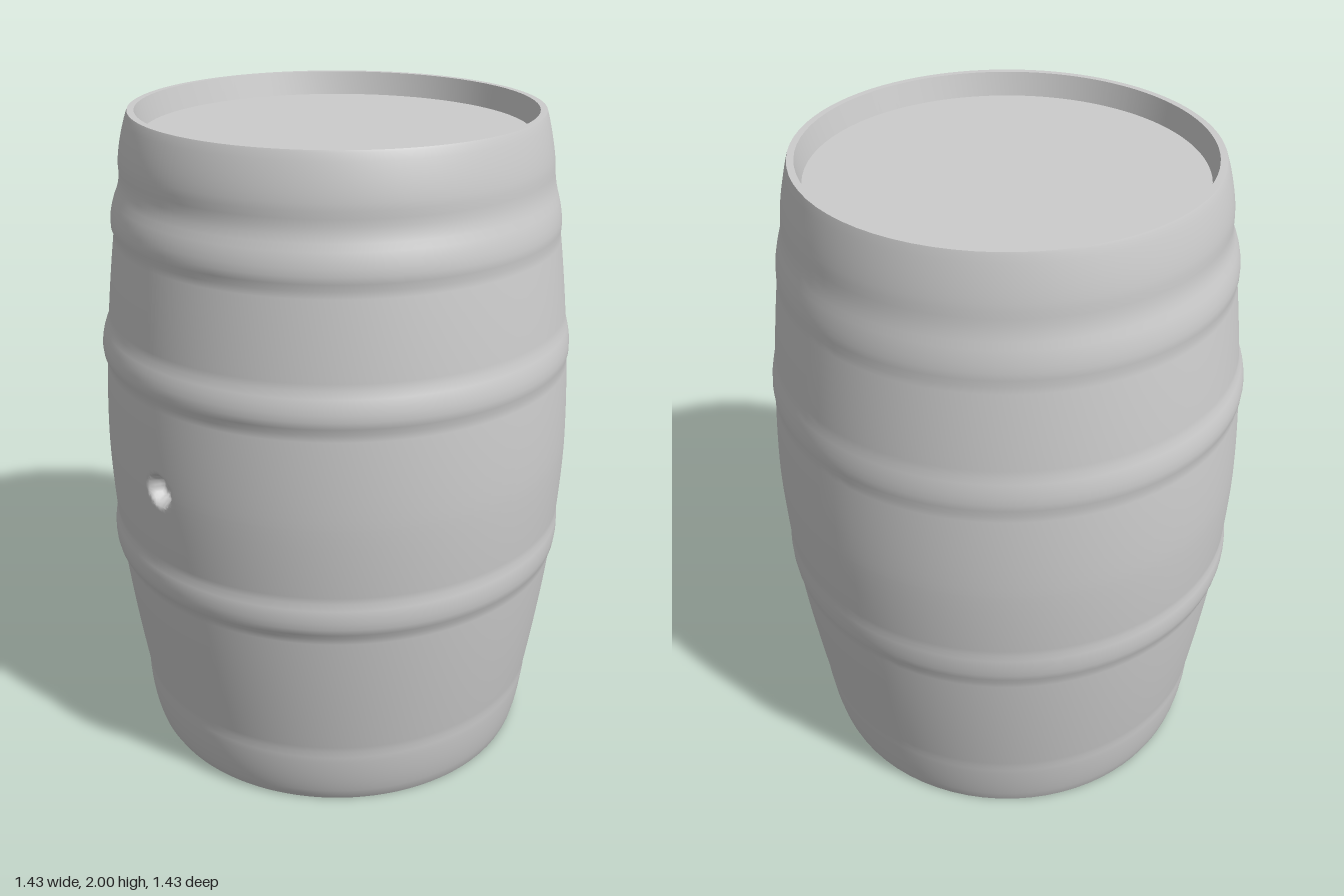
import * as THREE from 'three';
import { mergeVertices, toCreasedNormals } from 'three/addons/utils/BufferGeometryUtils.js';

const HEAD_RADIUS = 0.565;
const BOTTOM_HEAD_Y = 0.1;
const TOP_HEAD_Y = 1.93;

// Hoops as [lower edge, upper edge, thickness]
const HOOPS = [
  [0.0, 0.2, 0.012],
  [0.64, 0.76, 0.016],
  [1.28, 1.39, 0.016],
  [1.66, 1.78, 0.014],
  [1.83, 2.0, 0.01],
];
const BUNG = { x: 0.03, y: 1.01, radius: 0.055, depth: 0.045 };

// Bulging stave line
const staveRadius = (y) => 0.715 - 0.115 * Math.pow(Math.abs(y - 1), 1.7);

// Rounded swelling of the hoops, with a steeper lower edge
function hoopSwell(y) {
  for (const [low, high, thick] of HOOPS) {
    if (y > low && y < high) {
      const t = Math.pow((y - low) / (high - low), 0.75);
      return thick * Math.pow(Math.sin(Math.PI * t), 0.7);
    }
  }
  return 0;
}

function createShell(material) {
  // Profile: up the outside, with rows packed closer around the bung hole
  const profile = [new THREE.Vector2(HEAD_RADIUS, BOTTOM_HEAD_Y), new THREE.Vector2(0.58, 0)];
  let y = 0;
  while (y < 1.9999) {
    profile.push(new THREE.Vector2(staveRadius(y), y));
    y += Math.abs(y - BUNG.y) < 0.08 ? 0.007 : 0.02;
  }
  profile.push(new THREE.Vector2(staveRadius(2), 2));
  profile.push(new THREE.Vector2(0.58, 2), new THREE.Vector2(HEAD_RADIUS, TOP_HEAD_Y));

  let geometry = new THREE.LatheGeometry(profile, 128, -Math.PI, Math.PI * 2);
  const pos = geometry.attributes.position;
  for (let i = 0; i < pos.count; i++) {
    const px = pos.getX(i), py = pos.getY(i), pz = pos.getZ(i);
    let radius = Math.hypot(px, pz);
    // Pack columns towards the front for the bung hole
    const t = Math.atan2(px, pz);
    const angle = t - 0.82 * Math.sin(t);
    if (radius > 0.59) {
      // Hoops stand out more at the front than at the back
      radius += hoopSwell(py) * (0.7 + 0.3 * Math.cos(angle));
      // Bung hole pressed into the front
      const d = Math.hypot(radius * Math.sin(angle) - BUNG.x, py - BUNG.y);
      if (Math.cos(angle) > 0) {
        radius -= BUNG.depth * (1 - THREE.MathUtils.smoothstep(d, BUNG.radius * 0.5, BUNG.radius));
      }
    }
    pos.setXYZ(i, radius * Math.sin(angle), py, radius * Math.cos(angle));
  }
  // Weld the seam, then smooth everything but the rim edges
  geometry.deleteAttribute('uv');
  geometry.deleteAttribute('normal');
  geometry = mergeVertices(geometry, 1e-4);
  geometry = toCreasedNormals(geometry, 0.9);

  const shell = new THREE.Mesh(geometry, material);
  shell.name = 'hoopedStaves';
  return shell;
}

// Flat recessed lid; facing is 1 for up, -1 for down
function createHead(name, y, facing, material) {
  const head = new THREE.Mesh(new THREE.CircleGeometry(HEAD_RADIUS + 0.004, 96), material);
  head.rotation.x = -facing * Math.PI / 2;
  head.position.y = y;
  head.name = name;
  return head;
}

export function createModel() {
  const material = new THREE.MeshStandardMaterial({ color: 0xcccccc });
  const barrel = new THREE.Group();
  barrel.name = 'barrel';
  barrel.add(
    createShell(material),
    createHead('topHead', TOP_HEAD_Y, 1, material),
    createHead('bottomHead', BOTTOM_HEAD_Y, -1, material),
  );
  return barrel;
}
